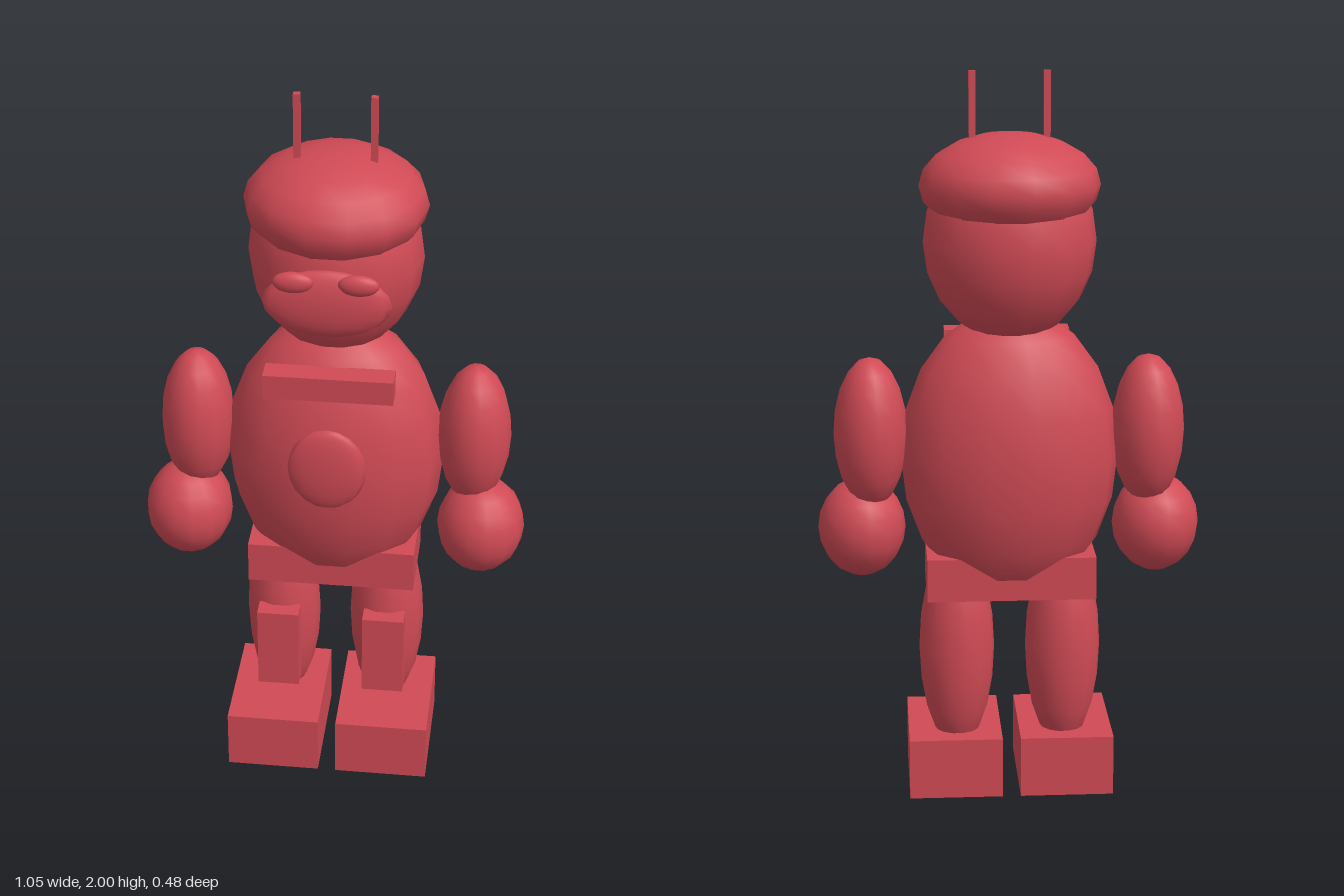
import * as THREE from 'three';

export function createModel() {
  const model = new THREE.Group();
  model.name = 'toyFigure';
  const red = new THREE.MeshStandardMaterial({ color: 0xd04a55 });
  red.name = 'red';

  function add(name, geometry, x, y, z) {
    const mesh = new THREE.Mesh(geometry, red);
    mesh.name = name;
    mesh.position.set(x, y, z);
    model.add(mesh);
  }

  // Ellipsoid given by centre and radii
  function ball(name, [x, y, z], [rx, ry, rz]) {
    add(name, new THREE.SphereGeometry(1, 14, 10).scale(rx, ry, rz), x, y, z);
  }

  // Box given by its lower and upper limits
  function block(name, [x0, x1], [y0, y1], [z0, z1]) {
    const g = new THREE.BoxGeometry(x1 - x0, y1 - y0, z1 - z0);
    add(name, g, (x0 + x1) / 2, (y0 + y1) / 2, (z0 + z1) / 2);
  }

  // Torso
  ball('body', [0, 0.96, -0.003], [0.297, 0.41, 0.203]);
  ball('chestBadge', [0, 1.015, 0.203], [0.105, 0.122, 0.027]);
  block('collarBar', [-0.172, 0.172], [1.212, 1.28], [0.115, 0.182]);
  block('pelvis', [-0.23, 0.23], [0.576, 0.695], [-0.122, 0.119]);

  // Head
  ball('head', [0, 1.55, -0.018], [0.232, 0.27, 0.204]);
  ball('cap', [0, 1.7, -0.018], [0.242, 0.14, 0.23]);
  ball('muzzle', [0, 1.515, 0.197], [0.167, 0.095, 0.034]);

  // Mirrored parts
  for (const [side, s] of [['left', 1], ['right', -1]]) {
    const span = (a, b) => (s > 0 ? [a, b] : [-b, -a]);
    ball(side + 'Eye', [s * 0.084, 1.585, 0.222], [0.053, 0.029, 0.02]);
    block(side + 'Antenna', span(0.09, 0.108), [1.7, 2], [-0.016, 0.002]);
    ball(side + 'Arm', [s * 0.378, 1.025, -0.005], [0.1, 0.21, 0.113]);
    ball(side + 'Hand', [s * 0.405, 0.753, 0.024], [0.12, 0.137, 0.126]);
    ball(side + 'Leg', [s * 0.147, 0.41, -0.003], [0.104, 0.3, 0.102]);
    block(side + 'KneePlate', span(0.09, 0.206), [0.23, 0.474], [0.08, 0.135]);
    block(side + 'Boot', span(0.025, 0.283), [0, 0.17], [-0.115, 0.227]);
  }
  return model;
}
